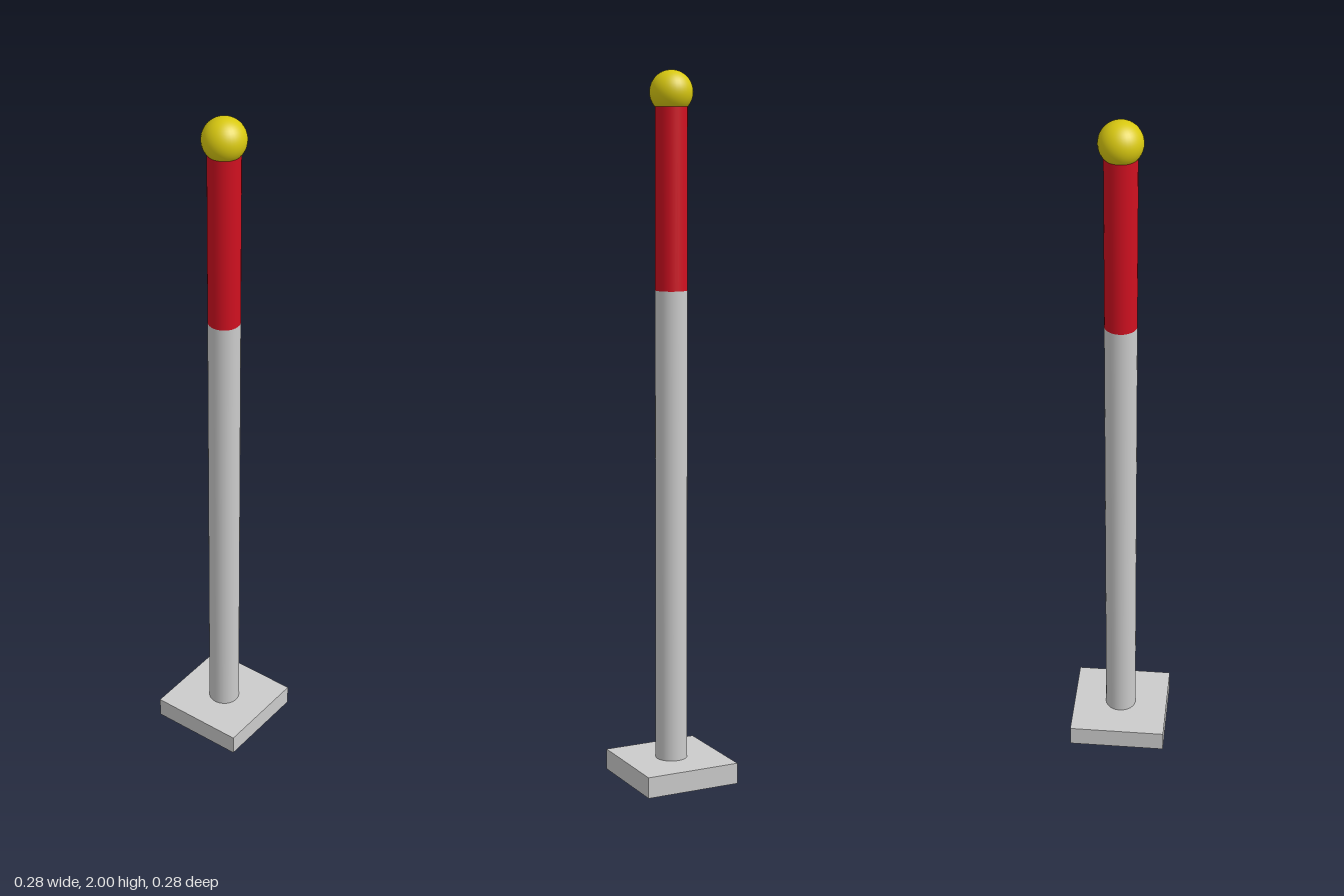
import * as THREE from 'three';

const material = (color) => new THREE.MeshStandardMaterial({ color });

export function createModel() {
  const model = new THREE.Group();
  model.name = 'markerPost';
  const grey = material(0xcccccc);

  const add = (name, geometry, mat, y) => {
    const mesh = new THREE.Mesh(geometry, mat);
    mesh.name = name;
    mesh.position.y = y;
    model.add(mesh);
  };

  // Upright cylinder between two heights
  const addPole = (name, bottom, top, mat) =>
    add(name, new THREE.CylinderGeometry(0.045, 0.045, top - bottom, 32), mat, (bottom + top) / 2);

  // Square foot plate
  add('basePlate', new THREE.BoxGeometry(0.28, 0.06, 0.28), grey, 0.03);

  // Post with a red upper section
  addPole('lowerPole', 0.06, 1.4, grey);
  addPole('upperPole', 1.4, 1.905, material(0xd01020));

  // Ball finial
  add('ballFinial', new THREE.SphereGeometry(0.06, 32, 24), material(0xd8c810), 1.94);

  return model;
}
